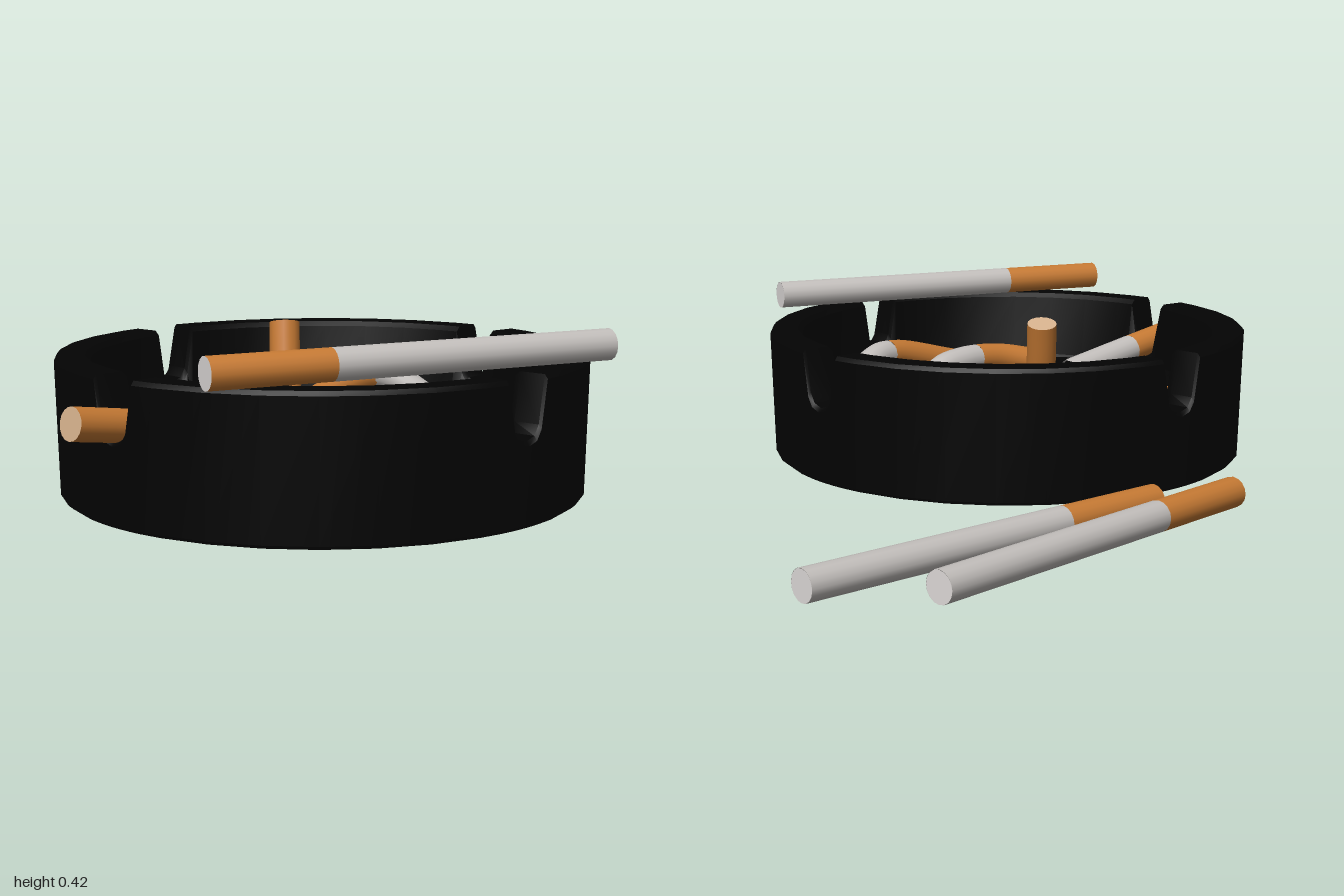
import * as THREE from 'three';
import { toCreasedNormals } from 'three/addons/utils/BufferGeometryUtils.js';

const material = (name, color, side = THREE.FrontSide) => {
  const m = new THREE.MeshStandardMaterial({ color, side });
  m.name = name;
  return m;
};
const black = material('black glaze', 0x030303);
const ashBlack = material('ash black', 0x040404, THREE.DoubleSide);
const paper = material('paper white', 0xc2bebb, THREE.DoubleSide);
const endWhite = material('end white', 0xe0dcda);
const cork = material('cork orange', 0xc67a34);
const foam = material('filter tan', 0xd4b08c);

const CX = 0.159, CZ = 0.243; // tray centre

const v = (p) => new THREE.Vector3(...p);

let seed = 7;
const rand = () => (seed = (seed * 16807) % 2147483647) / 2147483647;

function add(group, name, geometry, mat) {
  const mesh = new THREE.Mesh(geometry, mat);
  mesh.name = name;
  group.add(mesh);
  return mesh;
}

// Round tray: a cross-section swept around, its rim dipping at four notches
function makeTray() {
  const TOP = 0.339;
  const notch = [[-0.103, TOP], [-0.07, 0.23], [-0.045, 0.207], [0, 0.198],
    [0.045, 0.207], [0.07, 0.23], [0.103, TOP]];
  const columns = [];
  for (let q = 0; q < 4; q++) {
    const a = q * Math.PI / 2;
    notch.forEach(([d, h]) => columns.push([a + d, h]));
    for (let k = 1; k < 8; k++) columns.push([a + k * Math.PI / 16, TOP]);
  }
  const section = (h) => [[0, 0.001], [0.618, 0.001], [0.629, 0.01], [0.638, h - 0.01], [0.63, h],
    [0.565, h], [0.553, h - 0.012], [0.53, 0.16], [0.5, 0.13], [0, 0.13]];
  const rows = section(TOP).length, n = columns.length;
  const pos = [], index = [];
  columns.forEach(([a, h]) => section(h).forEach(([r, y]) =>
    pos.push(CX + r * Math.sin(a), y, CZ + r * Math.cos(a))));
  for (let i = 0; i < n; i++) {
    for (let j = 0; j < rows - 1; j++) {
      const a = i * rows + j, b = ((i + 1) % n) * rows + j;
      if (j > 0) index.push(a, b, b + 1);
      if (j < rows - 2) index.push(a, b + 1, a + 1);
    }
  }
  const g = new THREE.BufferGeometry();
  g.setAttribute('position', new THREE.Float32BufferAttribute(pos, 3));
  g.setIndex(index);
  return toCreasedNormals(g, 0.6);
}

// Loose ash heaped slightly towards the middle of the tray floor
function makeAsh() {
  const g = new THREE.RingGeometry(0.001, 0.53, 48, 14).rotateX(-Math.PI / 2);
  const p = g.attributes.position;
  for (let i = 0; i < p.count; i++) {
    const x = p.getX(i), z = p.getZ(i);
    const heap = 0.168 - 0.06 * (x * x + z * z);
    p.setY(i, heap + 0.006 * Math.sin(31 * x + 2) * Math.cos(37 * z));
  }
  g.computeVertexNormals();
  return g.translate(CX, 0, CZ);
}

function cap(group, name, at, dir, r, mat) {
  const c = add(group, name, new THREE.CircleGeometry(r, 16), mat);
  c.position.copy(at);
  c.lookAt(at.clone().add(dir));
}

// Cigarette along a path from the filter end; split is the filter's share of the length
function cigarette(name, path, split, { r = 0.037, torn = false, endMat = foam } = {}) {
  const group = new THREE.Group();
  group.name = name;
  const curve = new THREE.CatmullRomCurve3(path.map(v));
  const part = (t0, t1) => {
    const pts = [];
    for (let i = 0; i <= 10; i++) pts.push(curve.getPointAt(t0 + (t1 - t0) * i / 10));
    return new THREE.TubeGeometry(new THREE.CatmullRomCurve3(pts), 12, r, 16);
  };
  const end = curve.getPointAt(1), dir = curve.getTangentAt(1);
  add(group, 'filter', part(0, split), cork);
  const tube = part(split, 1);
  if (torn) { // ragged burnt edge
    const p = tube.attributes.position, start = 12 * 17;
    const jag = Array.from({ length: 16 }, () => (rand() - 0.6) * 0.03);
    for (let j = 0; j <= 16; j++) {
      const d = jag[j % 16], i = start + j;
      p.setXYZ(i, p.getX(i) + dir.x * d, p.getY(i) + dir.y * d, p.getZ(i) + dir.z * d);
    }
  }
  add(group, 'paper', tube, paper);
  cap(group, 'filterEnd', curve.getPointAt(0), curve.getTangentAt(0).negate(), r, endMat);
  cap(group, torn ? 'burntEnd' : 'paperEnd',
    torn ? end.clone().addScaledVector(dir, -0.018) : end, dir, r * 0.98, torn ? ashBlack : endWhite);
  return group;
}

export function createModel() {
  const model = new THREE.Group();
  model.name = 'ashtray';
  add(model, 'tray', makeTray(), black);
  add(model, 'ashBed', makeAsh(), ashBlack);

  // Whole cigarettes: two on the ground, one across the rim
  const whole = [
    ['groundCigaretteOuter', [[-0.692, 0.05, 0.19], [-0.777, 0.05, -0.8]], 0.29],
    ['groundCigaretteInner', [[-0.614, 0.05, 0], [-0.588, 0.05, -0.998]], 0.29],
    ['rimCigarette', [[0.464, 0.38, 0.876], [0.773, 0.38, -0.068]], 0.29],
  ];
  whole.forEach(([name, path, split]) =>
    model.add(cigarette(name, path, split, { endMat: endWhite })));

  // Smoked butts
  const butts = [
    ['notchButt', [[0.16, 0.252, 0.99], [0.16, 0.212, 0.73], [0.16, 0.172, 0.48]], 0.51],
    ['standingButt', [[-0.064, 0.378, 0.16], [-0.035, 0.25, 0.185], [0.005, 0.12, 0.215]], 0.93],
    ['backButt', [[-0.11, 0.16, -0.01], [-0.03, 0.21, -0.045], [0.05, 0.235, -0.08],
      [0.155, 0.17, -0.14]], 0.56],
    ['backLowerButt', [[-0.07, 0.165, -0.175], [0, 0.155, -0.09], [0.075, 0.14, 0.005]], 0.75],
    ['rightButt', [[-0.19, 0.145, 0.53], [-0.245, 0.165, 0.36], [-0.265, 0.18, 0.22],
      [-0.2, 0.165, 0.15]], 0.51],
    ['frontButt', [[-0.02, 0.15, 0.34], [-0.09, 0.17, 0.47], [-0.08, 0.155, 0.55],
      [0, 0.135, 0.64]], 0.56],
    ['middleButt', [[0.3, 0.18, 0.5], [0.345, 0.205, 0.38], [0.348, 0.21, 0.24],
      [0.34, 0.19, 0.15], [0.325, 0.14, 0.12]], 0.5],
    ['leftButt', [[0.54, 0.165, 0.37], [0.545, 0.215, 0.16], [0.525, 0.21, 0.07],
      [0.475, 0.16, -0.03]], 0.56],
    ['leftShortButt', [[0.48, 0.155, 0.51], [0.455, 0.165, 0.41], [0.435, 0.155, 0.29]], 0.86],
  ];
  butts.forEach(([name, path, split]) =>
    model.add(cigarette(name, path, split, { torn: true, r: 0.038 })));

  // Scrap of paper lying on the ash
  const scrap = new THREE.Shape([[-0.05, 0.03], [-0.04, 0], [-0.02, -0.01], [-0.01, -0.04], [0.025, -0.055],
    [0.065, -0.02], [0.06, 0.01], [0.03, 0.015], [0.01, 0.05]].map(([x, y]) => new THREE.Vector2(x, y)));
  add(model, 'paperScrap', new THREE.ShapeGeometry(scrap).rotateX(-Math.PI / 2), paper)
    .position.set(0.25, 0.165, 0.665);
  return model;
}
